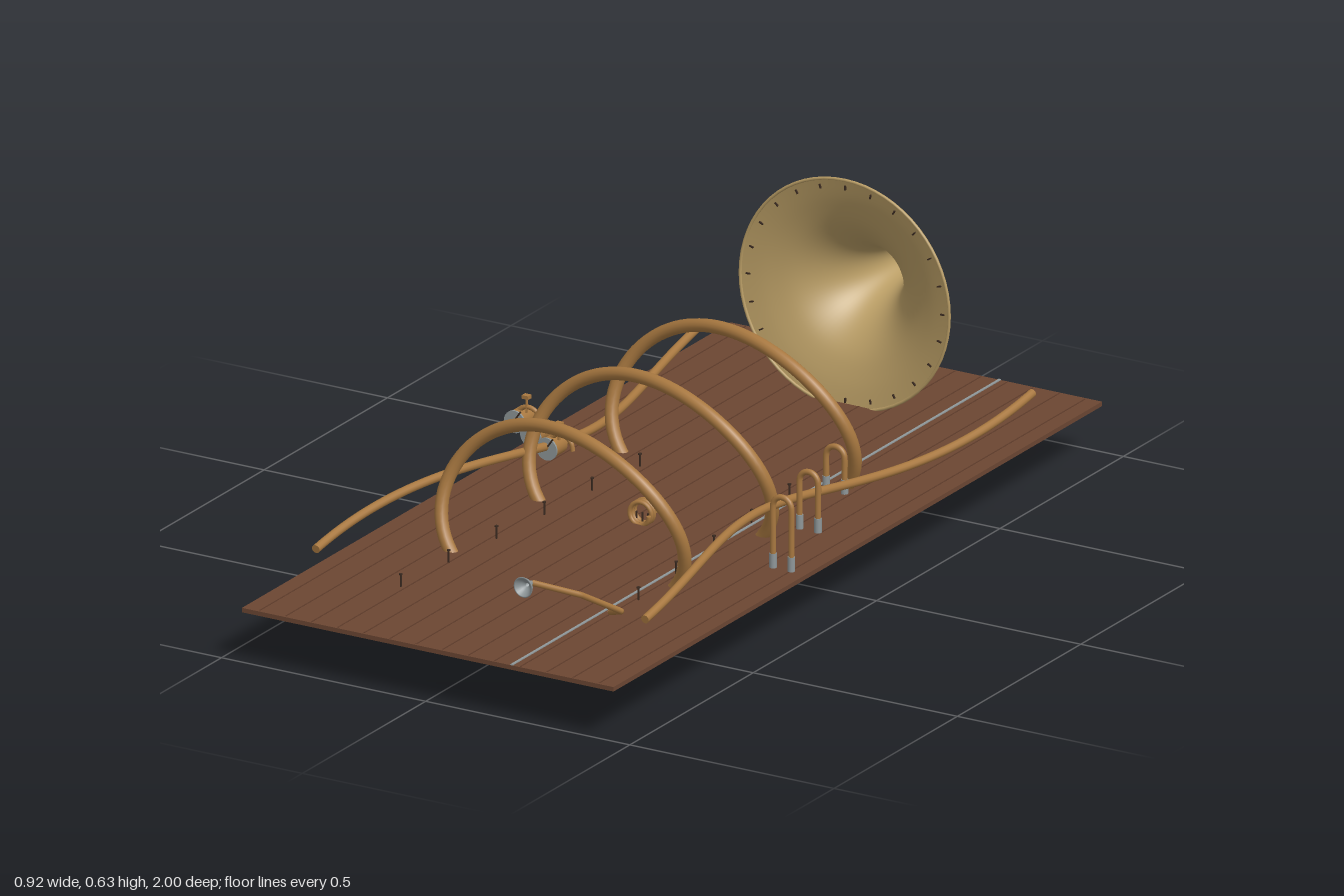
import * as THREE from 'three';

const mat = (color, side = THREE.FrontSide) => {
  const m = new THREE.MeshStandardMaterial({ color });
  m.side = side;
  return m;
};
const brass = mat(0xa87840);
const brassOpen = mat(0xa87840, THREE.DoubleSide);
const bellBrass = mat(0xb89c64, THREE.DoubleSide);
const wood = mat(0x6b4632);
const darkWood = mat(0x5c3a29);
const dark = mat(0x3a2a20);
const steel = mat(0x8f9799);
const steelOpen = mat(0x8f9799, THREE.DoubleSide);

const V = (x, y, z) => new THREE.Vector3(x, y, z);

function add(parent, name, geometry, material, x = 0, y = 0, z = 0) {
  const mesh = new THREE.Mesh(geometry, material);
  mesh.name = name;
  mesh.position.set(x, y, z);
  parent.add(mesh);
  return mesh;
}

// Curve given by a function of t in 0..1
function ruleCurve(f) {
  const c = new THREE.Curve();
  c.getPoint = (t, target = V(0, 0, 0)) => target.copy(f(t));
  return c;
}

// Tube with flat end caps
function pipe(parent, name, curve, r, segments) {
  add(parent, name, new THREE.TubeGeometry(curve, segments, r, 12, false), brassOpen);
  for (const t of [0, 1]) {
    const cap = add(parent, name + 'End', new THREE.CircleGeometry(r, 12), brassOpen);
    cap.position.copy(curve.getPointAt(t));
    cap.quaternion.setFromUnitVectors(V(0, 0, 1), curve.getTangentAt(t));
  }
}

function polyline(points) {
  const path = new THREE.CurvePath();
  for (let i = 1; i < points.length; i++) path.add(new THREE.LineCurve3(points[i - 1], points[i]));
  return path;
}

function makeBoard() {
  const g = new THREE.Group();
  g.name = 'board';
  add(g, 'plank', new THREE.BoxGeometry(0.91, 0.01, 1.98), wood, 0.005, 0.117, 0.01);
  // Faint grain strips
  for (let i = 0; i < 14; i++) {
    add(g, 'grain', new THREE.BoxGeometry(0.003, 0.001, 1.97), darkWood, -0.41 + i * 0.064, 0.1221, 0.01);
  }
  add(g, 'wire', new THREE.BoxGeometry(0.006, 0.003, 1.98), steel, 0.21, 0.1225, 0.01);
  // Two staggered rows of pins
  for (let i = 0; i < 6; i++) {
    for (const [x, z] of [[-0.23 + i * 0.012, 0.72 - i * 0.174], [0.237 - i * 0.0115, 0.53 - i * 0.172]]) {
      add(g, 'pin', new THREE.CylinderGeometry(0.0022, 0.0022, 0.028, 6), dark, x, 0.136, z);
      add(g, 'pinHead', new THREE.CylinderGeometry(0.004, 0.004, 0.003, 8), dark, x, 0.15, z);
    }
  }
  return g;
}

function makeBell() {
  const g = new THREE.Group();
  g.name = 'bell';
  g.position.set(0.005, 0.367, 0);
  const profile = new THREE.SplineCurve([
    [0.028, -1], [0.032, -0.94], [0.044, -0.88], [0.067, -0.82],
    [0.1, -0.77], [0.145, -0.73], [0.2, -0.705], [0.256, -0.69],
  ].map(([r, z]) => new THREE.Vector2(r, z)));
  const flare = add(g, 'flare', new THREE.LatheGeometry(profile.getPoints(36), 64), bellBrass);
  flare.rotation.x = Math.PI / 2;
  add(g, 'rim', new THREE.TorusGeometry(0.256, 0.0035, 8, 64), bellBrass, 0, 0, -0.69);
  // Small studs inside the rim
  for (let i = 0; i < 24; i++) {
    const a = (i / 24) * Math.PI * 2;
    const stud = add(g, 'stud', new THREE.BoxGeometry(0.01, 0.003, 0.004), dark,
      0.238 * Math.cos(a), 0.238 * Math.sin(a), -0.692);
    stud.rotation.z = a;
  }
  return g;
}

// Large loop that twists into a figure eight seen from the side
function makeLoop(z0) {
  const curve = ruleCurve((t) => {
    const a = t * Math.PI * 2;
    return V(0.004 + 0.295 * Math.cos(a), 0.222 + 0.207 * Math.sin(a), z0 + 0.036 * Math.sin(2 * a));
  });
  return new THREE.TubeGeometry(curve, 96, 0.0145, 14, true);
}

// Valve: rotary drum, face plate, lever and curved branch
function makeValve(x, z) {
  const g = new THREE.Group();
  g.name = 'valve';
  g.position.set(x, 0.193, z);
  const drum = add(g, 'drum', new THREE.CylinderGeometry(0.023, 0.023, 0.044, 24), brass);
  drum.rotation.x = Math.PI / 2;
  const plate = add(g, 'facePlate', new THREE.CylinderGeometry(0.025, 0.025, 0.004, 24), steel, 0, 0, 0.024);
  plate.rotation.x = Math.PI / 2;
  const lever = add(g, 'lever', new THREE.BoxGeometry(0.003, 0.032, 0.003), dark, 0.008, 0.013, 0.028);
  lever.rotation.z = -0.6;
  add(g, 'stem', new THREE.CylinderGeometry(0.003, 0.003, 0.035, 8), brass, 0.02, 0.037, 0.008);
  add(g, 'key', new THREE.BoxGeometry(0.016, 0.008, 0.014), brass, 0.02, 0.055, 0.008);
  const branch = new THREE.CatmullRomCurve3([
    V(0, 0.02, 0.006), V(0.016, 0.031, 0.006), V(0.035, 0.029, 0.006), V(0.049, 0.017, 0.006), V(0.053, 0, 0.006),
  ]);
  pipe(g, 'branch', branch, 0.005, 20);
  return g;
}

// Inverted U slide with steel sleeves on its feet
function makeSlide(x, z, top) {
  const g = new THREE.Group();
  g.name = 'slide';
  g.position.set(x, 0, z);
  const h = 0.0225, bend = top - 0.008 - h;
  const points = [V(-h, 0.15, 0), V(-h, (bend + 0.15) / 2, 0)];
  for (let i = 0; i <= 8; i++) {
    const a = Math.PI * (1 - i / 8);
    points.push(V(h * Math.cos(a), bend + h * Math.sin(a), 0));
  }
  points.push(V(h, (bend + 0.15) / 2, 0), V(h, 0.15, 0));
  pipe(g, 'slideTube', new THREE.CatmullRomCurve3(points), 0.0065, 48);
  for (const s of [-1, 1]) {
    add(g, 'sleeve', new THREE.CylinderGeometry(0.008, 0.008, 0.032, 12), steel, s * h, 0.15, 0);
  }
  return g;
}

function makeMouthpipe() {
  const g = new THREE.Group();
  g.name = 'mouthpipe';
  const path = [V(0.29, 0.17, 0.73), V(0.365, 0.212, 0.81), V(0.335, 0.28, 0.925), V(0.232, 0.295, 0.95)];
  pipe(g, 'leadTube', polyline(path), 0.0065, 60);
  const cup = add(g, 'mouthpiece', new THREE.LatheGeometry(
    [[0.004, -0.025], [0.007, -0.012], [0.018, 0.002], [0.023, 0.012], [0.02, 0.012], [0.012, 0], [0.004, -0.006]]
      .map(([r, y]) => new THREE.Vector2(r, y)), 24), steelOpen, 0.23, 0.296, 0.974);
  cup.rotation.x = Math.PI / 2;
  return g;
}

// Small coil resting on the board
function makeCoil() {
  const g = new THREE.Group();
  g.name = 'coil';
  g.position.set(0.005, 0.144, 0.13);
  const helix = ruleCurve((t) => {
    const a = t * Math.PI * 6;
    return V(0.025 * Math.cos(a), 0.025 * Math.sin(a), (t - 0.5) * 0.03);
  });
  pipe(g, 'coilTube', helix, 0.005, 72);
  for (const x of [-0.014, 0, 0.014]) {
    add(g, 'coilPeg', new THREE.CylinderGeometry(0.002, 0.002, 0.024, 6), dark, x, -0.012, 0);
  }
  return g;
}

export function createModel() {
  const model = new THREE.Group();
  model.add(makeBoard(), makeBell(), makeMouthpipe(), makeCoil());

  for (const z of [0.45, 0.095, -0.24]) add(model, 'loop', makeLoop(z), brass);

  // Long wavy side rails
  for (const s of [-1, 1]) {
    const rail = ruleCurve((t) => {
      const a = (t * 2 - 1) * Math.PI;
      return V(0.004 + s * (0.352 - 0.051 * Math.cos(a)), 0.194 + 0.041 * Math.sin(a), (t * 2 - 1) * 0.785);
    });
    pipe(model, 'sideRail', rail, 0.0095, 80);
  }

  for (let i = 0; i < 3; i++) {
    model.add(makeValve(-0.293 - i * 0.071, 0.0 - i * 0.052));
    model.add(makeSlide(0.274 + i * 0.0715, -0.207 + i * 0.226, 0.243 + i * 0.03));
  }
  return model;
}
